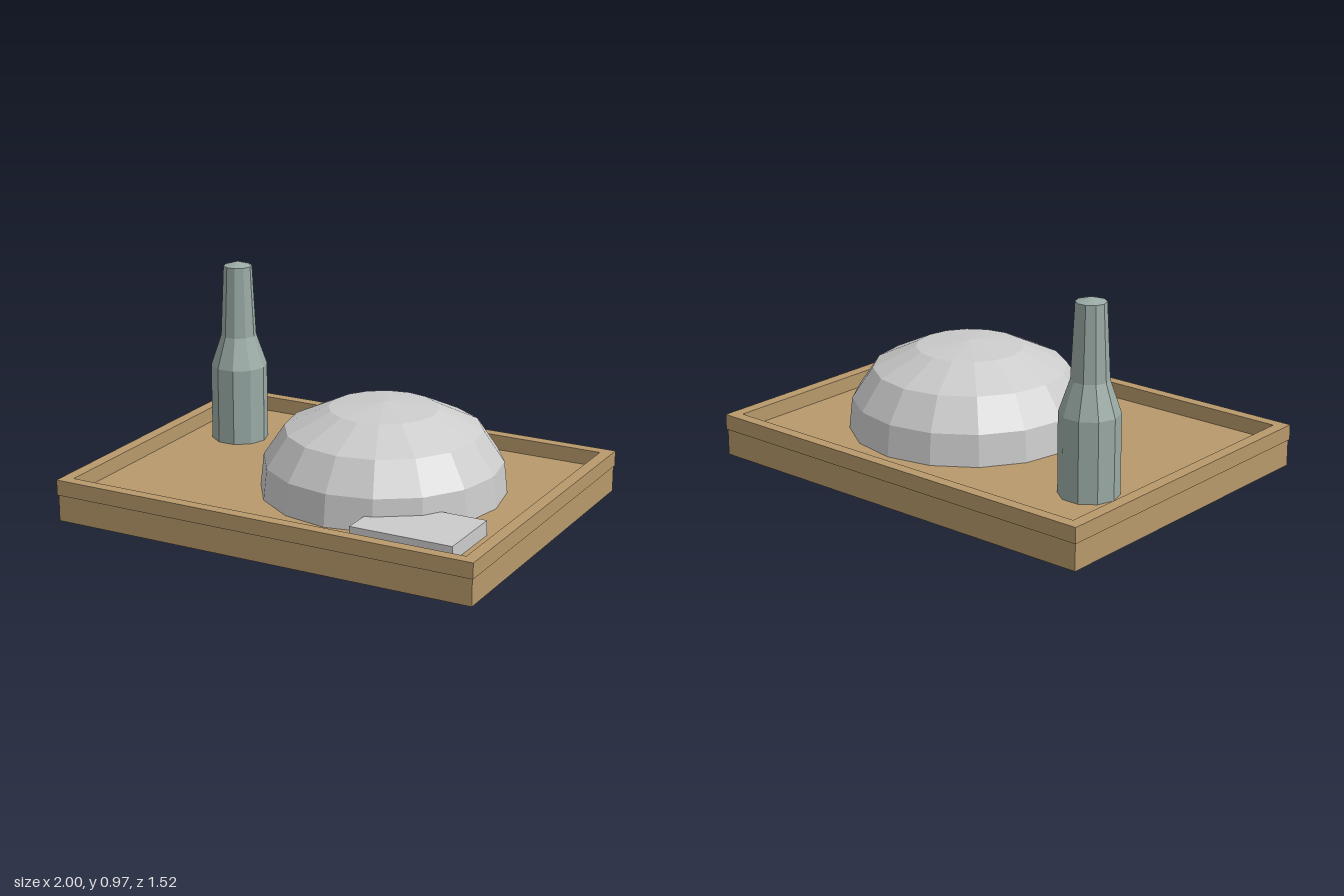
import * as THREE from 'three';

const material = (color) => new THREE.MeshStandardMaterial({ color, flatShading: true });
const FLOOR = 0.12;

function addPart(group, name, geometry, mat, x = 0, y = 0, z = 0) {
  const mesh = new THREE.Mesh(geometry, mat);
  mesh.name = name;
  mesh.position.set(x, y, z);
  group.add(mesh);
  return mesh;
}

// Faceted solid of revolution from [radius, height] pairs, bottom to top
function turned(profile, sides) {
  const points = profile.map(([r, y]) => new THREE.Vector2(r, y));
  return new THREE.LatheGeometry(points, sides, Math.PI / 2);
}

function rectangle(PathType, w, d) {
  return new PathType([[-w, -d], [w, -d], [w, d], [-w, d]].map(([x, y]) => new THREE.Vector2(x, y)));
}

export function createModel() {
  const model = new THREE.Group();
  model.name = 'trayWithBottleAndDome';
  const wood = material(0xb8996b);
  const grey = material(0xcccccc);
  const glass = material(0x9aaaa5);

  // Tray: solid base and a slightly overhanging raised rim
  const tray = new THREE.Group();
  tray.name = 'tray';
  model.add(tray);
  addPart(tray, 'trayBase', new THREE.BoxGeometry(1.99, FLOOR, 1.51), wood, 0, FLOOR / 2, 0);

  const rimShape = rectangle(THREE.Shape, 1, 0.76);
  rimShape.holes.push(rectangle(THREE.Path, 0.945, 0.708));
  const rim = new THREE.ExtrudeGeometry(rimShape, { depth: 0.07, bevelEnabled: false });
  rim.rotateX(-Math.PI / 2);
  addPart(tray, 'trayRim', rim, wood, 0, FLOOR, 0);

  // Faceted dome
  const dome = turned([[0, FLOOR], [0.545, FLOOR], [0.53, 0.262], [0.436, 0.402], [0.242, 0.494], [0, 0.52]], 16);
  addPart(model, 'dome', dome, grey, 0.21, 0, 0);

  // Bottle with sloped shoulder, tapering neck and low pointed top
  const bottle = turned([[0, FLOOR], [0.131, FLOOR], [0.131, 0.476], [0.082, 0.62], [0.066, 0.95], [0, 0.97]], 10);
  addPart(model, 'bottle', bottle, glass, -0.712, 0, -0.31);

  // Flat block partly under the dome
  addPart(model, 'flatBlock', new THREE.BoxGeometry(0.47, 0.067, 0.332), grey, 0.615, FLOOR + 0.0335, 0.47);

  return model;
}
